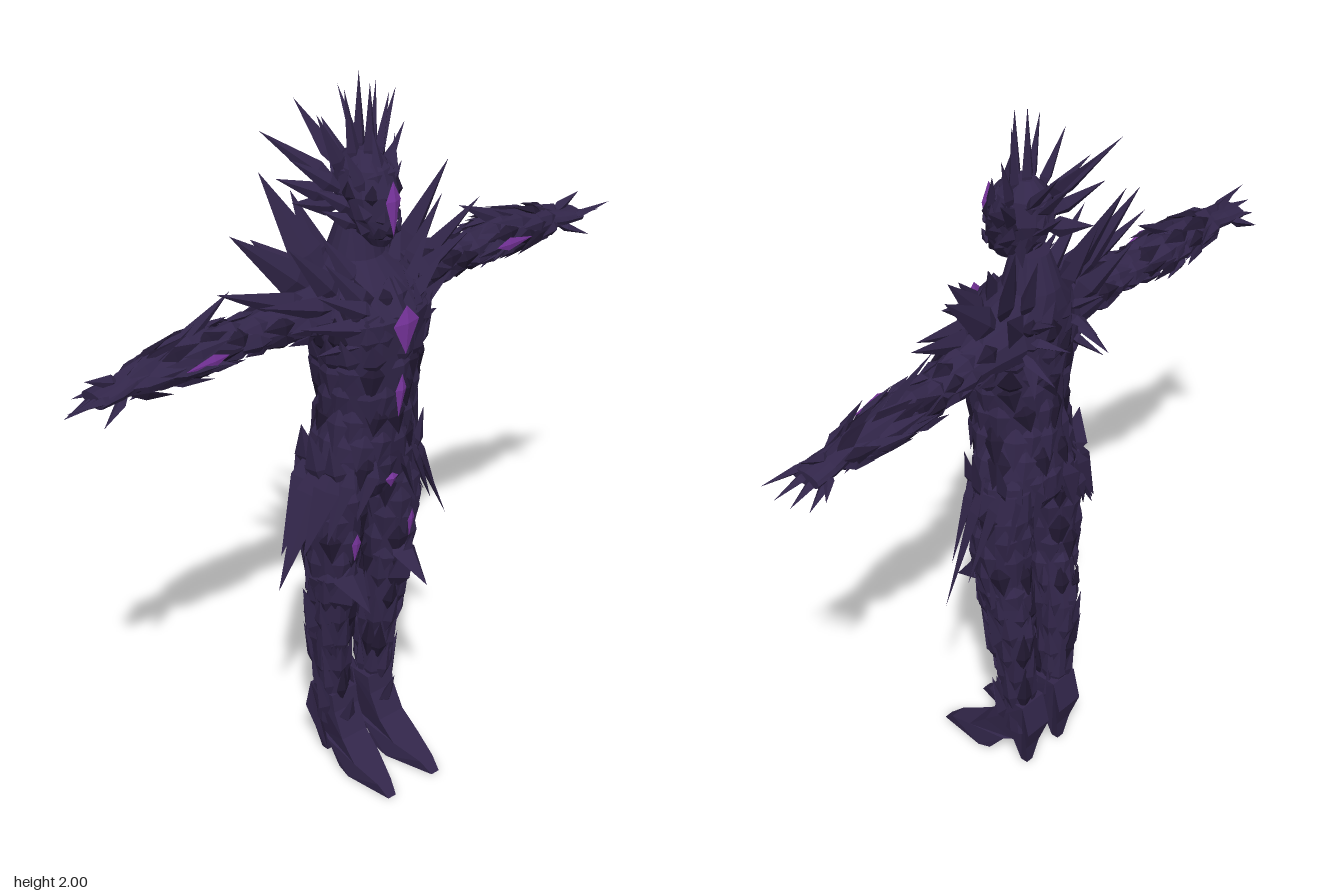
import * as THREE from 'three';

const V = (x, y, z) => new THREE.Vector3(x, y, z);
const mats = {
  armor: new THREE.MeshStandardMaterial({ color: 0x32264a }),
  shade: new THREE.MeshStandardMaterial({ color: 0x221933 }),
  glow: new THREE.MeshStandardMaterial({ color: 0x7a35a0 }),
};
for (const k in mats) mats[k].name = k;

let seed = 7;
const rand = () => (seed = (seed * 16807) % 2147483647) / 2147483647;

function meshFrom(name, pos, mat) {
  const g = new THREE.BufferGeometry();
  g.setAttribute('position', new THREE.Float32BufferAttribute(pos, 3));
  g.computeVertexNormals();
  const m = new THREE.Mesh(g, mat);
  m.name = name;
  return m;
}

// Pointed plate with a diamond section; n is the direction its flat side faces
function blade(out, a, b, w, thick, n, belly = 0.35) {
  const d = b.clone().sub(a).normalize();
  const s = d.clone().cross(n).normalize();
  const u = d.clone().cross(s);
  const mid = a.clone().lerp(b, belly);
  const ring = [[s, w], [u, thick], [s, -w], [u, -thick]].map(([v, k]) => mid.clone().addScaledVector(v, k));
  for (let i = 0; i < 4; i++) {
    const p = ring[i], q = ring[(i + 1) % 4];
    for (const v of [p, q, b, q, p, a]) out.push(v.x, v.y, v.z);
  }
}

// Rings are [cx, cy, cz, radiusX, radius2]; arm rings stand in xy, body rings lie in xz
function ringPoint(r, ang, arm, k = 1) {
  const c = Math.cos(ang) * r[3] * k, s = Math.sin(ang) * r[4] * k;
  return arm ? V(r[0] + c, r[1] + s, r[2]) : V(r[0] + c, r[1], r[2] + s);
}
function ringAt(rings, t) {
  t = Math.min(Math.max(t, 0), rings.length - 1.001);
  const i = Math.floor(t), f = t - i;
  return rings[i].map((v, k) => v + (rings[i + 1][k] - v) * f);
}
function loft(name, rings, arm, n = 14) {
  const pos = [], add = (...vs) => vs.forEach(v => pos.push(v.x, v.y, v.z));
  const P = (j, i) => ringPoint(rings[j], (i / n) * Math.PI * 2, arm);
  const last = rings.length - 1, C = j => V(rings[j][0], rings[j][1], rings[j][2]);
  for (let i = 0; i < n; i++) {
    for (let j = 0; j < last; j++) {
      add(P(j, i), P(j, i + 1), P(j + 1, i));
      add(P(j, i + 1), P(j + 1, i + 1), P(j + 1, i));
    }
    add(C(0), P(0, i + 1), P(0, i));
    add(C(last), P(last, i), P(last, i + 1));
  }
  return meshFrom(name, pos, mats.armor);
}

// Overlapping plates that follow a loft; step is how far along the rings each tip lies
function scales(group, name, rings, arm, o) {
  const sets = { armor: [], shade: [] };
  for (let r = 0; r < o.rows; r++) {
    const t = o.from + (o.to - o.from) * (r / Math.max(1, o.rows - 1));
    for (let i = 0; i < o.count; i++) {
      const ang = ((i + (r % 2) / 2 + (rand() - 0.5) * 0.4) / o.count) * Math.PI * 2;
      const a = ringPoint(ringAt(rings, t), ang, arm, 0.96);
      const b = ringPoint(ringAt(rings, t + o.step * (0.8 + rand() * 0.5)), ang + (rand() - 0.5) * 0.3, arm, 1 + o.lift * (0.4 + rand()));
      const n = arm ? V(Math.cos(ang), Math.sin(ang), 0) : V(Math.cos(ang), 0, Math.sin(ang));
      blade(rand() < 0.28 ? sets.shade : sets.armor, a, b, o.w, 0.012, n);
    }
  }
  for (const k in sets) group.add(meshFrom(name, sets[k], mats[k]));
}

// Lists of [base xyz, tip xyz, half width]
function spikes(name, list, n, thick = 0.014, mat = mats.armor) {
  const pos = [];
  for (const [ax, ay, az, bx, by, bz, w] of list) blade(pos, V(ax, ay, az), V(bx, by, bz), w, thick, n);
  return meshFrom(name, pos, mat);
}

const torso = [
  [-0.03, 1.62, 0, 0.05, 0.045], [-0.035, 1.53, 0, 0.075, 0.075], [-0.01, 1.47, 0, 0.105, 0.14],
  [0.015, 1.4, 0, 0.13, 0.17], [0.012, 1.3, 0, 0.122, 0.155], [0.01, 1.2, 0, 0.115, 0.135],
  [0.003, 1.1, 0, 0.108, 0.122], [-0.008, 1.0, 0, 0.108, 0.15], [-0.015, 0.91, 0, 0.1, 0.16], [-0.015, 0.85, 0, 0.06, 0.09],
];
const head = [
  [-0.01, 1.81, 0, 0.03, 0.025], [-0.005, 1.77, 0, 0.075, 0.06], [0.005, 1.71, 0, 0.09, 0.077],
  [0.018, 1.65, 0, 0.08, 0.064], [0.04, 1.6, 0, 0.058, 0.036], [0.05, 1.575, 0, 0.03, 0.02],
];
const leg = [
  [-0.015, 0.96, 0.09, 0.09, 0.075], [-0.015, 0.88, 0.097, 0.095, 0.082], [-0.015, 0.78, 0.1, 0.082, 0.074],
  [-0.02, 0.66, 0.097, 0.068, 0.06], [-0.03, 0.58, 0.092, 0.065, 0.055], [-0.042, 0.48, 0.088, 0.068, 0.052],
  [-0.05, 0.35, 0.08, 0.052, 0.043], [-0.05, 0.22, 0.073, 0.042, 0.036], [-0.055, 0.12, 0.07, 0.05, 0.036],
];
const arm = [
  [-0.02, 1.41, 0.1, 0.09, 0.08], [-0.03, 1.41, 0.2, 0.07, 0.06], [-0.04, 1.405, 0.3, 0.052, 0.046],
  [-0.05, 1.4, 0.4, 0.045, 0.04], [-0.055, 1.405, 0.48, 0.058, 0.05], [-0.055, 1.4, 0.58, 0.052, 0.045],
  [-0.05, 1.395, 0.68, 0.033, 0.03], [-0.05, 1.39, 0.73, 0.042, 0.024], [-0.05, 1.385, 0.79, 0.044, 0.018],
];

// High-heeled boot cut from a side outline, narrowing to the toe
function foot() {
  const s = new THREE.Shape([[-0.1, 0.23], [-0.122, 0.14], [-0.1, 0.07], [-0.09, 0], [-0.068, 0], [-0.055, 0.08],
    [-0.03, 0.075], [0.02, 0.012], [0.06, 0], [0.205, 0], [0.17, 0.03], [0.09, 0.062], [0.035, 0.11], [0, 0.18], [-0.01, 0.23],
  ].map(p => new THREE.Vector2(...p)));
  const g = new THREE.ExtrudeGeometry(s, { depth: 0.09, bevelEnabled: false }).toNonIndexed();
  const p = g.attributes.position;
  for (let i = 0; i < p.count; i++) {
    const x = p.getX(i), y = p.getY(i);
    let k = x > 0.08 ? 1.05 - (x - 0.08) * 6 : 0.95;
    if (x < -0.05 && y < 0.1) k = 0.25 + y * 5;
    p.setZ(i, 0.065 + Math.max(0, x) * 0.07 + (p.getZ(i) - 0.045) * k);
  }
  g.computeVertexNormals();
  const m = new THREE.Mesh(g, mats.armor);
  m.name = 'heeledBoot';
  return m;
}

function buildSide(name) {
  const g = new THREE.Group();
  g.name = name;
  const X = V(1, 0, 0.15), Y = V(0.1, 1, 0), Z = V(0.1, 0, 1);
  g.add(loft('leg', leg, false, 12), loft('arm', arm, true, 12), foot());
  scales(g, 'thighPlates', leg, false, { from: 0.5, to: 3, rows: 5, count: 7, step: 1.1, lift: 0.1, w: 0.03 });
  scales(g, 'shinPlates', leg, false, { from: 7.2, to: 4.6, rows: 5, count: 7, step: -1.1, lift: 0.2, w: 0.022 });
  scales(g, 'upperArmPlates', arm, true, { from: 0.8, to: 2.6, rows: 4, count: 7, step: 0.9, lift: 0.15, w: 0.025 });
  scales(g, 'forearmPlates', arm, true, { from: 6.4, to: 4.2, rows: 5, count: 7, step: -1.2, lift: 0.4, w: 0.021 });

  // Pauldron blades fanning out from the chest
  g.add(spikes('shoulderBlades', [
    [-0.03, 1.42, 0.1, -0.08, 1.655, 0.355, 0.045], [-0.02, 1.43, 0.09, -0.16, 1.75, 0.2, 0.045],
    [0, 1.41, 0.12, -0.04, 1.54, 0.43, 0.035], [0.03, 1.42, 0.08, 0.01, 1.62, 0.25, 0.035],
    [0.04, 1.42, 0.08, 0.02, 1.5, 0.35, 0.032], [-0.07, 1.42, 0.08, -0.16, 1.58, 0.23, 0.045],
    [0.09, 1.4, 0.04, 0.05, 1.57, 0.17, 0.03], [0.11, 1.4, 0.03, 0.07, 1.5, 0.21, 0.028],
    [0.12, 1.38, 0.03, 0.05, 1.42, 0.25, 0.03], [0.12, 1.36, 0.03, 0.05, 1.33, 0.2, 0.03],
    [0.05, 1.44, 0.04, -0.01, 1.61, 0.13, 0.03], [-0.06, 1.45, 0.06, -0.15, 1.68, 0.11, 0.035],
  ], X, 0.02));
  g.add(spikes('backClaws', [
    [-0.08, 1.44, 0.06, -0.19, 1.51, 0.09, 0.02], [-0.08, 1.42, 0.08, -0.205, 1.42, 0.05, 0.02],
    [-0.08, 1.4, 0.1, -0.2, 1.34, 0.1, 0.02], [-0.08, 1.38, 0.06, -0.16, 1.3, 0.13, 0.02],
  ], Y));

  // Hip blades hanging like a split skirt
  g.add(spikes('hipBlades', [
    [0, 1.04, 0.12, 0, 0.66, 0.292, 0.04], [0.04, 1.02, 0.12, 0.03, 0.75, 0.235, 0.035],
    [-0.05, 1.03, 0.11, -0.04, 0.73, 0.25, 0.04], [0.06, 1.02, 0.09, 0.06, 0.78, 0.18, 0.03],
    [-0.08, 1.02, 0.08, -0.1, 0.8, 0.17, 0.04], [0.085, 1.02, 0.04, 0.085, 0.83, 0.1, 0.03],
    [-0.1, 1.02, 0.03, -0.115, 0.83, 0.08, 0.04], [0.01, 0.92, 0.15, 0, 1.09, 0.185, 0.035],
    [0.05, 0.93, 0.13, 0.05, 1.06, 0.16, 0.03], [-0.06, 0.93, 0.13, -0.06, 1.08, 0.16, 0.035],
  ], V(0.5, 0, 0.8)));

  // Knee guard and spurs on the lower leg
  g.add(spikes('kneeGuard', [
    [0.01, 0.5, 0.095, 0.08, 0.71, 0.1, 0.05], [0, 0.68, 0.095, 0.138, 0.575, 0.1, 0.045],
  ], X, 0.035));
  g.add(spikes('legSpurs', [
    [-0.04, 0.4, 0.11, -0.04, 0.6, 0.18, 0.03], [0, 0.36, 0.1, 0, 0.54, 0.155, 0.025],
    [-0.03, 0.13, 0.09, -0.03, 0.32, 0.148, 0.025], [-0.04, 0.54, 0.13, -0.04, 0.7, 0.17, 0.025],
    [-0.06, 0.12, 0.05, -0.08, 0.28, 0.02, 0.02], [-0.01, 0.11, 0.07, 0.04, 0.24, 0.075, 0.028],
  ], X));
  g.add(spikes('forearmSpikes', [
    [-0.05, 1.41, 0.58, -0.06, 1.525, 0.375, 0.025], [-0.05, 1.4, 0.66, -0.05, 1.48, 0.49, 0.022],
    [-0.05, 1.4, 0.56, -0.05, 1.325, 0.45, 0.022], [-0.05, 1.39, 0.75, -0.05, 1.45, 0.64, 0.02],
    [-0.06, 1.4, 0.6, -0.14, 1.42, 0.44, 0.025], [-0.04, 1.4, 0.58, 0.025, 1.38, 0.42, 0.025],
    [-0.05, 1.38, 0.58, -0.06, 1.34, 0.68, 0.02], [-0.05, 1.4, 0.7, -0.05, 1.44, 0.81, 0.018],
  ], V(0.9, 0.2, 0), 0.012));
  g.add(spikes('fingers', [
    [-0.02, 1.39, 0.73, -0.01, 1.4, 0.89, 0.014], [-0.04, 1.39, 0.75, -0.04, 1.37, 0.88, 0.014],
    [-0.06, 1.385, 0.75, -0.07, 1.35, 0.86, 0.014], [-0.08, 1.38, 0.74, -0.1, 1.335, 0.83, 0.013],
    [-0.03, 1.385, 0.7, 0.005, 1.335, 0.8, 0.014], [-0.07, 1.39, 0.73, -0.125, 1.36, 0.8, 0.013],
  ], Y, 0.012));

  // Side hair spikes
  g.add(spikes('crownSpikes', [
    [0, 1.72, 0.02, -0.015, 1.965, 0.05, 0.018], [-0.01, 1.72, 0.04, -0.04, 1.91, 0.115, 0.02],
    [-0.02, 1.7, 0.04, -0.13, 1.87, 0.218, 0.025], [0, 1.7, 0.05, -0.06, 1.81, 0.185, 0.022],
    [-0.03, 1.68, 0.05, -0.1, 1.75, 0.195, 0.025], [0.03, 1.66, 0.04, -0.02, 1.73, 0.14, 0.022],
    [0.03, 1.62, 0.03, -0.02, 1.67, 0.12, 0.022], [-0.03, 1.66, 0.04, -0.12, 1.66, 0.13, 0.03],
    [-0.03, 1.73, 0.03, -0.18, 1.9, 0.07, 0.022], [0.06, 1.7, 0.04, 0.02, 1.83, 0.08, 0.02],
  ], X));
  g.add(spikes('glowMarks', [
    [0.082, 0.79, 0.095, 0.07, 0.7, 0.095, 0.014], [0.02, 1.41, 0.44, 0.018, 1.405, 0.57, 0.018],
  ], X, 0.004, mats.glow));
  return g;
}

export function createModel() {
  seed = 7;
  const root = new THREE.Group();
  root.name = 'spikedArmorFigure';
  root.add(loft('torso', torso, false, 18), loft('head', head, false, 14));
  scales(root, 'chestPlates', torso, false, { from: 4.4, to: 2.6, rows: 4, count: 14, step: -1, lift: 0.12, w: 0.032 });
  scales(root, 'waistPlates', torso, false, { from: 4, to: 7.6, rows: 6, count: 14, step: 1, lift: 0.07, w: 0.032 });
  scales(root, 'helmetPlates', head, false, { from: 4, to: 1.5, rows: 4, count: 9, step: -0.9, lift: 0.12, w: 0.022 });
  const X = V(1, 0, 0);
  root.add(spikes('centreSpikes', [
    [0.02, 1.72, 0, 0.02, 1.98, 0, 0.02], [-0.02, 1.72, 0, -0.02, 2, 0, 0.02],
    [-0.04, 1.7, 0, -0.16, 1.84, 0, 0.03], [-0.04, 1.66, 0, -0.13, 1.74, 0, 0.04], [0.07, 1.7, 0, 0.03, 1.86, 0, 0.025],
  ], X));
  root.add(spikes('breastKeel', [[0.09, 1.5, 0, 0.1, 1.24, 0, 0.08]], X, 0.06));
  // Glowing face strip, chest gem, belly strip and belt mark
  root.add(spikes('glowStrips', [
    [0.104, 1.755, 0, 0.108, 1.61, 0, 0.024], [0.157, 1.445, 0, 0.155, 1.31, 0, 0.042],
    [0.143, 1.25, 0, 0.13, 1.12, 0, 0.018], [0.108, 0.95, 0, 0.104, 0.905, 0, 0.022],
  ], X, 0.008, mats.glow));
  const left = buildSide('sidePlusZ'), right = buildSide('sideMinusZ');
  right.scale.z = -1;
  root.add(left, right);
  return root;
}
